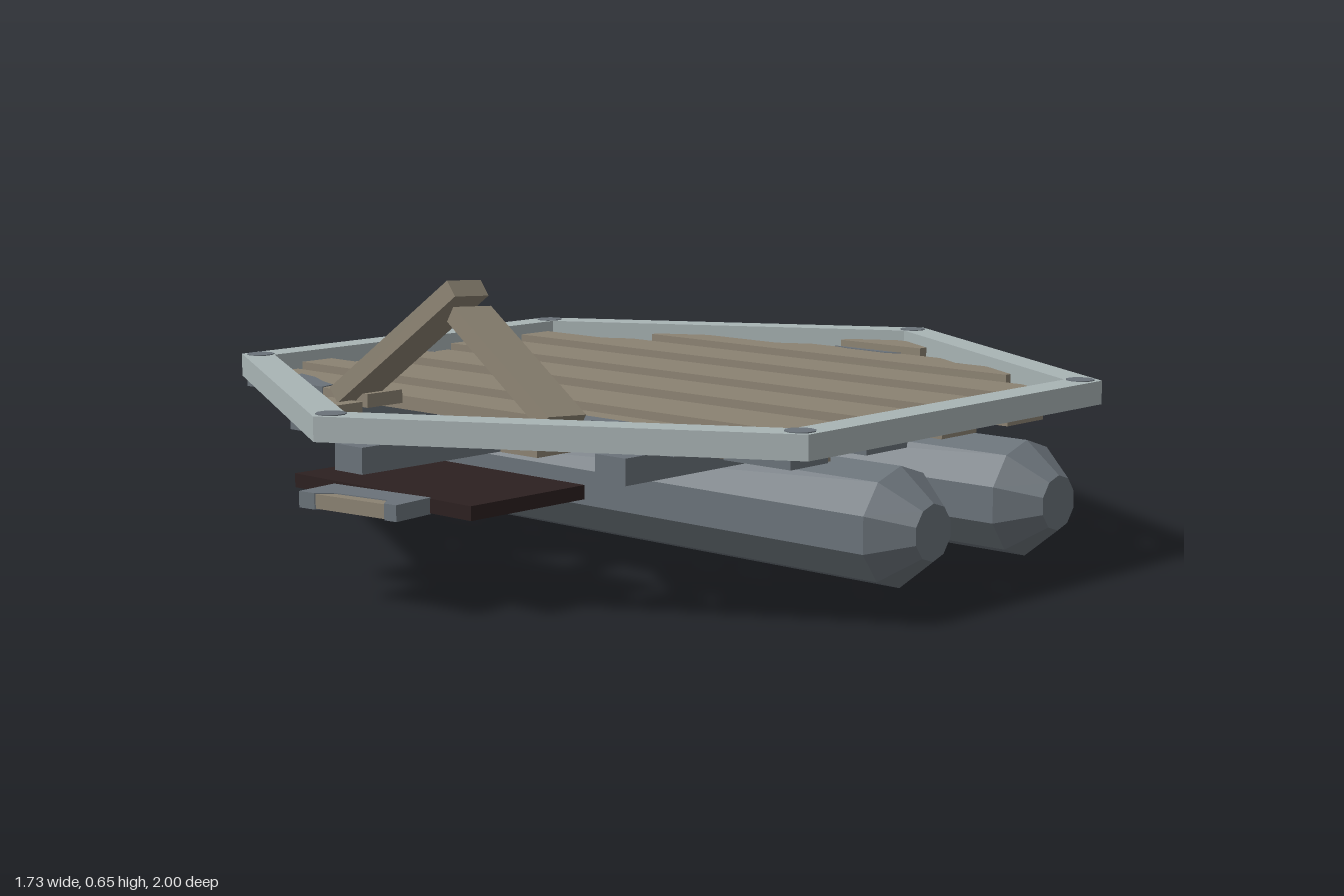
import * as THREE from 'three';

const mat = (name, color) => {
  const m = new THREE.MeshStandardMaterial({ color });
  m.name = name;
  return m;
};

export function createModel() {
  const group = new THREE.Group();
  const pale = mat('paleFrame', 0xa9b4b5);
  const wood = mat('weatheredWood', 0x8b8272);
  const grey = mat('greyMetal', 0x6a7279);
  const char = mat('charredWood', 0x2c2020);

  const add = (name, geo, material, x = 0, y = 0, z = 0) => {
    const m = new THREE.Mesh(geo, material);
    m.name = name;
    m.position.set(x, y, z);
    group.add(m);
    return m;
  };
  const box = (name, material, x0, x1, y0, y1, z0, z1) =>
    add(name, new THREE.BoxGeometry(x1 - x0, y1 - y0, z1 - z0), material,
      (x0 + x1) / 2, (y0 + y1) / 2, (z0 + z1) / 2);
  // Horizontal slab from an outline of [x, z] points, rising from y = 0
  const slab = (points, depth, hole) => {
    const shape = new THREE.Shape(points.map(([x, z]) => new THREE.Vector2(x, -z)));
    if (hole) shape.holes.push(new THREE.Path(hole.map(([x, z]) => new THREE.Vector2(x, -z))));
    return new THREE.ExtrudeGeometry(shape, { depth, bevelEnabled: false }).rotateX(-Math.PI / 2);
  };
  const hexagon = (r) => Array.from({ length: 6 }, (_, i) => {
    const a = i * Math.PI / 3;
    return [r * Math.sin(a), r * Math.cos(a)];
  });

  // Hexagonal rim with a bolt at each corner
  add('rim', slab(hexagon(1), 0.052, hexagon(0.918)), pale, 0, 0.348, 0);
  for (const [x, z] of hexagon(0.953)) {
    add('cornerBolt', new THREE.CylinderGeometry(0.032, 0.032, 0.004, 10), grey, x, 0.4, z);
  }

  // Deck planks: [z start, z end, half length, inner gap], alternating in height
  const T = 0.03;
  const planks = [
    [-0.91, -0.82, 0.125], [-0.80, -0.68, 0.315], [-0.665, -0.58, 0.555],
    [-0.565, -0.45, 0.725], [-0.44, -0.345, 0.83], [-0.33, -0.20, 0.83],
    [-0.19, -0.10, 0.83], [-0.09, 0.03, 0.83], [0.04, 0.132, 0.83],
    [0.15, 0.278, 0.83], [0.287, 0.376, 0.83], [0.39, 0.51, 0.83],
    [0.517, 0.617, 0.625, 0.28], [0.632, 0.753, 0.385, 0.28],
  ];
  const plankY = (i) => (i % 2 ? 0.33 : 0.345);
  planks.forEach(([z0, z1, half, gap], i) => {
    const y = plankY(i);
    if (gap) {
      box('brokenPlank', wood, -half, -gap, y, y + T, z0, z1);
      box('brokenPlank', wood, gap, half, y, y + T, z0, z1);
    } else box('plank', wood, -half, half, y, y + T, z0, z1);
  });

  // Worn grey patches wrapping the plank edges: [plank index, outline]
  const patches = [
    [1, [[-0.317, -0.72], [-0.27, -0.70], [-0.2, -0.69], [-0.18, -0.678], [-0.317, -0.678]]],
    [1, [[-0.13, -0.802], [0.08, -0.802], [0.05, -0.785], [-0.08, -0.79]]],
    [1, [[0.317, -0.802], [0.317, -0.678], [0.17, -0.678], [0.22, -0.7], [0.28, -0.72], [0.3, -0.76], [0.29, -0.802]]],
    [7, [[0.1, 0.032], [0.2, 0.018], [0.36, 0.032]]],
    [8, [[-0.832, 0.038], [-0.7, 0.038], [-0.77, 0.055], [-0.785, 0.134], [-0.832, 0.134]]],
    [9, [[0.832, 0.148], [0.832, 0.28], [0.785, 0.28], [0.77, 0.24], [0.785, 0.2], [0.77, 0.17]]],
    [11, [[0.832, 0.4], [0.832, 0.512], [0.66, 0.512], [0.69, 0.49], [0.76, 0.49], [0.78, 0.43]]],
    [11, [[-0.832, 0.44], [-0.76, 0.47], [-0.72, 0.5], [-0.6, 0.512], [-0.832, 0.512]]],
    [12, [[-0.627, 0.515], [-0.56, 0.53], [-0.5, 0.56], [-0.44, 0.58], [-0.43, 0.619], [-0.627, 0.619]]],
    [12, [[0.278, 0.515], [0.42, 0.515], [0.4, 0.56], [0.34, 0.55], [0.278, 0.58]]],
    [12, [[0.627, 0.515], [0.627, 0.619], [0.44, 0.619], [0.5, 0.57], [0.57, 0.56], [0.58, 0.515]]],
  ];
  for (const [i, outline] of patches) {
    add('wornPatch', slab(outline, T + 0.004), grey, 0, plankY(i) - 0.002, 0);
  }

  // Support beams under the deck
  for (const [x, half] of [[-0.475, 0.64], [0, 0.91], [0.475, 0.64]]) {
    box('supportBeam', grey, x - 0.042, x + 0.042, 0.275, 0.33, -half, half);
  }

  // Ten-sided floats with tapered ends
  const R = 0.131;
  const profile = [[0, -0.79], [0.062, -0.79], [R, -0.703], [R, 0.703], [0.062, 0.79], [0, 0.79]]
    .map(([r, y]) => new THREE.Vector2(r, y));
  for (const z of [0, -0.455]) {
    const geo = new THREE.LatheGeometry(profile, 10).rotateZ(-Math.PI / 2)
      .rotateX(Math.PI / 2).toNonIndexed();
    geo.computeVertexNormals();
    add('float', geo, grey, 0, 0.125, z);
  }

  // Snapped planks standing up at the break, each laid between two points
  const lean = (from, to, width, thick) => {
    const a = new THREE.Vector3(...from), b = new THREE.Vector3(...to);
    const dir = b.clone().sub(a), len = dir.length();
    dir.normalize();
    const side = new THREE.Vector3(0, 0, 1).addScaledVector(dir, -dir.z).normalize();
    const up = side.clone().cross(dir);
    const m = add('snappedPlank', new THREE.BoxGeometry(len, thick, width), wood);
    m.quaternion.setFromRotationMatrix(new THREE.Matrix4().makeBasis(dir, up, side));
    m.position.copy(a.add(b).multiplyScalar(0.5));
  };
  lean([-0.335, 0.37, 0.618], [-0.005, 0.623, 0.572], 0.105, 0.04);
  lean([0.015, 0.572, 0.588], [0.33, 0.378, 0.624], 0.1, 0.038);

  // Fallen charred panel and the loose scrap of plank in front of it
  box('charredPanel', char, -0.27, 0.275, 0.2, 0.23, 0.51, 0.83);
  const scrap = new THREE.Group();
  scrap.name = 'looseScrap';
  scrap.position.set(0.03, 0.2, 0.895);
  scrap.rotation.y = 0.12;
  const scrapWood = new THREE.Mesh(new THREE.BoxGeometry(0.26, T, 0.1), wood);
  scrapWood.name = 'scrapWood';
  scrapWood.position.y = T / 2;
  const scrapPatch = new THREE.Mesh(
    slab([[-0.132, -0.052], [0.132, -0.052], [0.132, 0.052], [0.1, 0.052], [0.08, 0.02], [-0.06, 0.025], [-0.09, 0.052], [-0.132, 0.052]], T + 0.004), grey);
  scrapPatch.name = 'scrapPatch';
  scrapPatch.position.y = -0.002;
  scrap.add(scrapWood, scrapPatch);
  group.add(scrap);

  return group;
}
